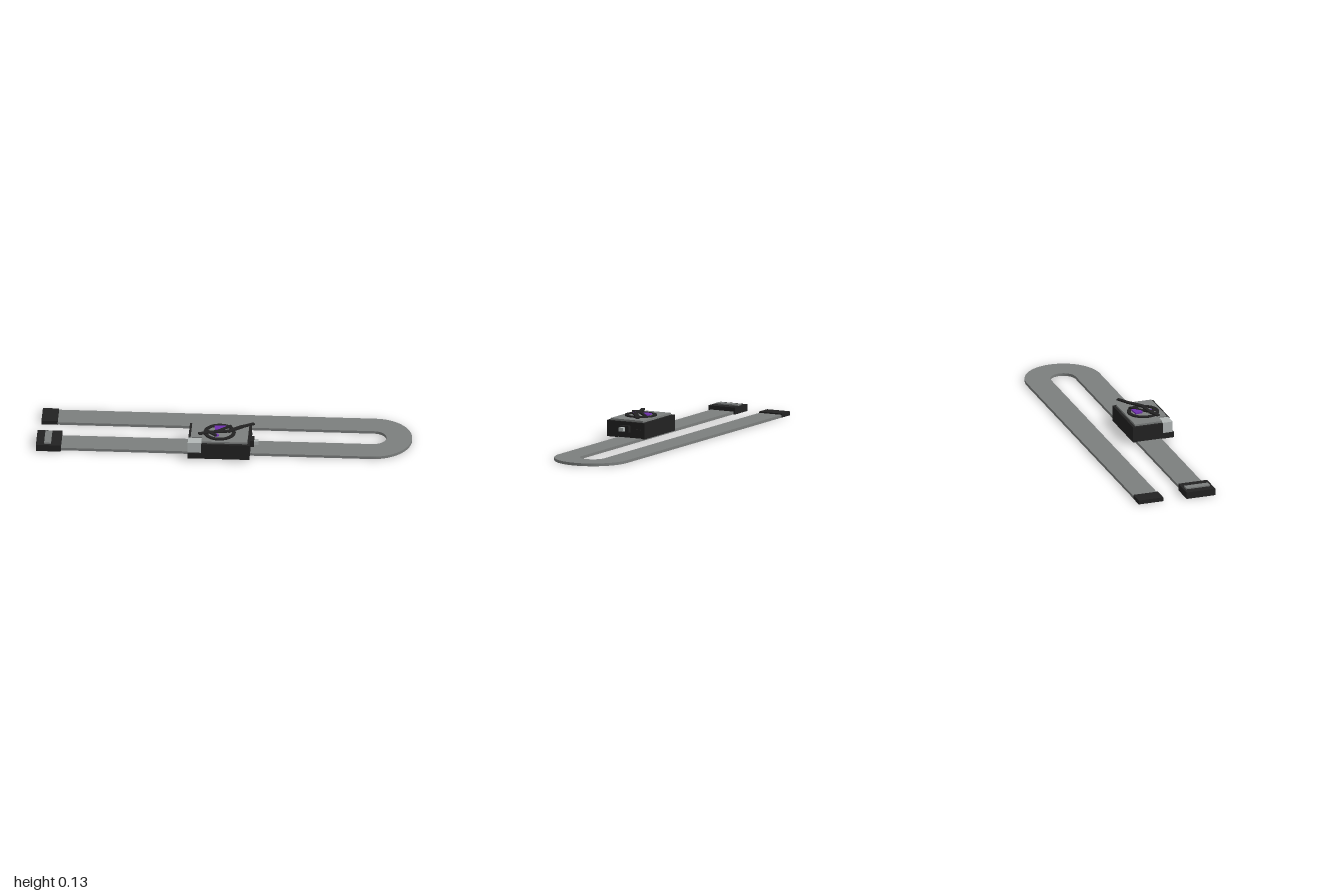
import * as THREE from 'three';

const mat = (name, color) => new THREE.MeshStandardMaterial({ name, color });

export function createModel() {
  const root = new THREE.Group();
  const strapGrey = mat('strap grey', 0x7c7f7e);
  const black = mat('black', 0x222222);
  const silver = mat('silver', 0xb2b8b7);
  const purple = mat('purple', 0x7030b0);

  const add = (name, geo, material, parent = root) => {
    const m = new THREE.Mesh(geo, material);
    m.name = name;
    parent.add(m);
    return m;
  };
  // box given by its limits on each axis
  const box = (name, material, [x0, x1], [y0, y1], [z0, z1], parent) => {
    const m = add(name, new THREE.BoxGeometry(x1 - x0, y1 - y0, z1 - z0), material, parent);
    m.position.set((x0 + x1) / 2, (y0 + y1) / 2, (z0 + z1) / 2);
    return m;
  };
  // plan outline in (x, -z), raised from y0 to y1
  const slab = (name, shape, material, y0, y1, parent) => {
    const geo = new THREE.ExtrudeGeometry(shape, { depth: y1 - y0, bevelEnabled: false, curveSegments: 24 });
    geo.rotateX(-Math.PI / 2);
    geo.translate(0, y0, 0);
    return add(name, geo, material, parent);
  };
  const outline = (pts) => new THREE.Shape(pts.map(([x, z]) => new THREE.Vector2(x, -z)));

  // strap: two straight runs joined by a half ring
  const cx = 0.793, cz = 0.035, outer = 0.207, inner = 0.07;
  const strap = new THREE.Shape();
  strap.moveTo(-0.88, cz - outer);
  strap.lineTo(cx, cz - outer);
  strap.absarc(cx, cz, outer, -Math.PI / 2, Math.PI / 2, false);
  strap.lineTo(-0.91, cz + outer);
  strap.lineTo(-0.91, cz + inner);
  strap.lineTo(cx, cz + inner);
  strap.absarc(cx, cz, inner, Math.PI / 2, -Math.PI / 2, true);
  strap.lineTo(-0.88, cz - inner);
  slab('strap', strap, strapGrey, 0, 0.015);

  // strap end and clasp
  box('strapTip', black, [-0.987, -0.9], [0, 0.022], [-0.243, -0.104]);
  const clasp = new THREE.Group();
  clasp.name = 'clasp';
  root.add(clasp);
  box('claspBlock', black, [-1, -0.867], [0, 0.037], [0.024, 0.187], clasp);
  box('claspBar', strapGrey, [-0.957, -0.92], [0.037, 0.044], [0.037, 0.172], clasp);

  // case with a cut corner holding a silver block
  const body = new THREE.Group();
  body.name = 'case';
  root.add(body);
  box('caseBase', black, [-0.185, 0.145], [0.013, 0.045], [0.012, 0.243], body);
  slab('caseUpper', outline([[-0.185, 0.012], [-0.185, 0.18], [-0.112, 0.18], [-0.112, 0.243],
    [0.145, 0.243], [0.145, 0.012]].reverse()), black, 0.045, 0.1, body);
  box('cornerBlock', silver, [-0.185, -0.112], [0.045, 0.104], [0.18, 0.236], body);
  slab('topPlate', outline([[-0.172, 0.027], [-0.172, 0.18], [-0.112, 0.18], [-0.112, 0.228],
    [0.133, 0.228], [0.133, 0.027]].reverse()), strapGrey, 0.1, 0.11, body);

  // side controls
  box('knobMount', black, [0.145, 0.165], [0.045, 0.08], [0.098, 0.155], body);
  box('knob', silver, [0.165, 0.188], [0.052, 0.073], [0.12, 0.147], body);
  box('sideButton', black, [0.145, 0.15], [0.059, 0.065], [0.033, 0.062], body);

  // dial: ring, purple plates and a curved pointer
  const dial = new THREE.Group();
  dial.name = 'dial';
  root.add(dial);
  const ring = new THREE.Shape().absarc(-0.02, -0.127, 0.086, 0, Math.PI * 2, false);
  ring.holes.push(new THREE.Path().absarc(-0.02, -0.127, 0.067, 0, Math.PI * 2, true));
  slab('dialRing', ring, black, 0.11, 0.117, dial);
  slab('purplePlate', outline([[-0.05, 0.075], [0.012, 0.07], [0.005, 0.095], [-0.022, 0.122],
    [-0.045, 0.115]].reverse()), purple, 0.115, 0.123, dial);
  slab('purpleSpot', outline([[-0.052, 0.165], [-0.028, 0.158], [-0.02, 0.172],
    [-0.035, 0.185]].reverse()), purple, 0.115, 0.123, dial);
  const bars = [
    [-0.125, 0.172, -0.065, 0.15, 0.02, 0.123, 0.13],
    [-0.065, 0.15, 0.03, 0.137, 0.02, 0.123, 0.13],
    [0.03, 0.137, 0.095, 0.085, 0.024, 0.123, 0.13],
    [0.095, 0.085, 0.155, 0.05, 0.02, 0.123, 0.13],
    [-0.08, 0.145, -0.04, 0.185, 0.016, 0.123, 0.13],
    [-0.05, 0.15, 0.035, 0.072, 0.014, 0.117, 0.126],
  ];
  bars.forEach(([x0, z0, x1, z1, w, y0, y1]) => {
    const length = Math.hypot(x1 - x0, z1 - z0) + w * 0.6;
    const bar = add('pointer', new THREE.BoxGeometry(length, y1 - y0, w), black, dial);
    bar.position.set((x0 + x1) / 2, (y0 + y1) / 2, (z0 + z1) / 2);
    bar.rotation.y = -Math.atan2(z1 - z0, x1 - x0);
  });

  return root;
}
